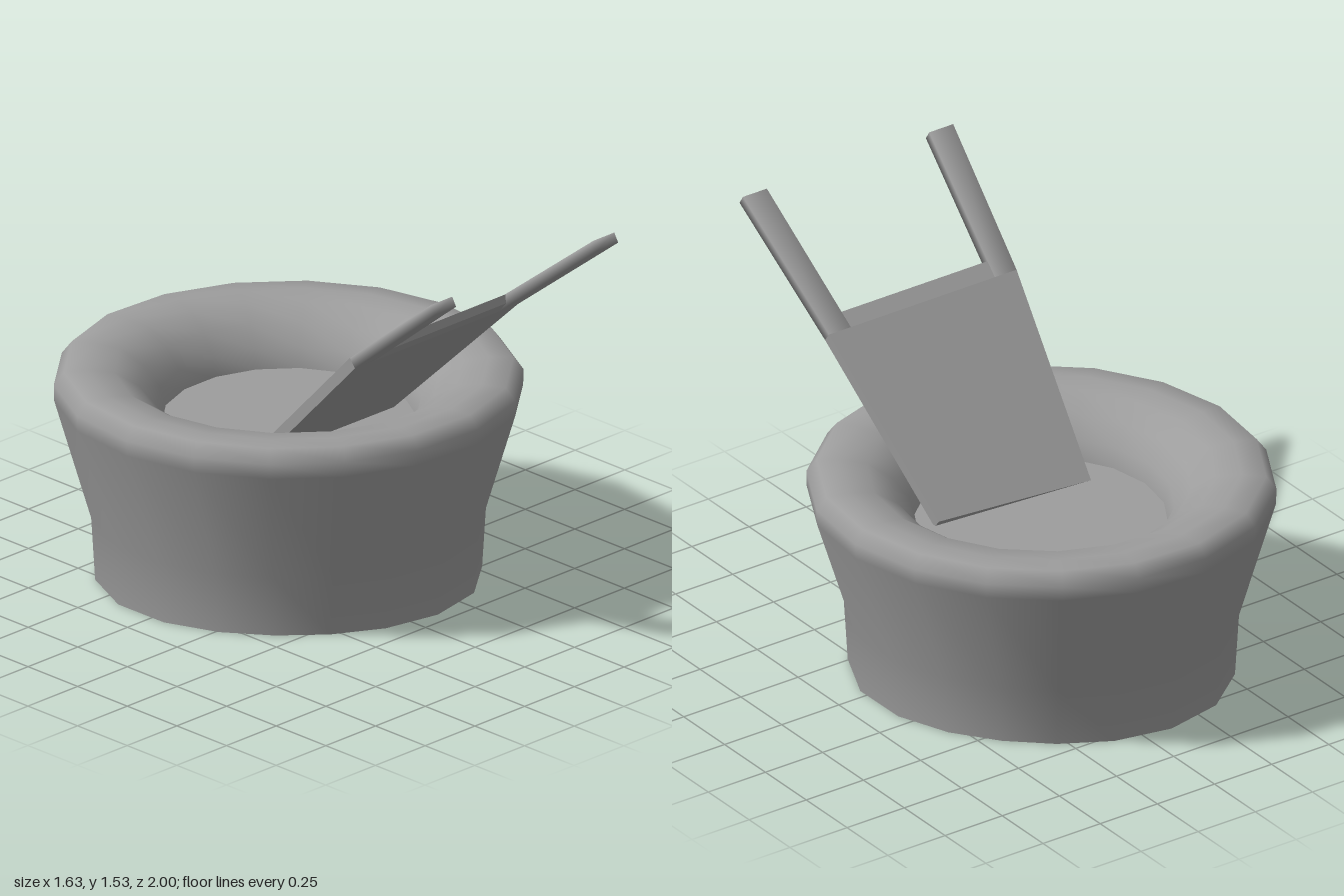
import * as THREE from 'three';
import { mergeVertices } from 'three/addons/utils/BufferGeometryUtils.js';

const CENTRE_Z = -0.19;
const SIDES = 18;
const COLOR = 0x9d9d9d;

const material = new THREE.MeshStandardMaterial({ color: COLOR, side: THREE.DoubleSide });
const flatMaterial = new THREE.MeshStandardMaterial({ color: COLOR, side: THREE.DoubleSide, flatShading: true });

function addMesh(parent, name, geometry, mat) {
  const mesh = new THREE.Mesh(geometry, mat);
  mesh.name = name;
  parent.add(mesh);
  return mesh;
}

// Turned wall from [radius, y, oval] points; oval stretches that ring along the x = z diagonal
function ovalLathe(profile) {
  const points = profile.map(([r, y]) => new THREE.Vector2(r, y));
  const geometry = new THREE.LatheGeometry(points, SIDES, THREE.MathUtils.degToRad(10));
  const p = geometry.attributes.position;
  for (let i = 0; i < p.count; i++) {
    const x = p.getX(i), z = p.getZ(i);
    const f = 1 + profile[i % profile.length][2] * 2 * x * z / (x * x + z * z);
    p.setX(i, x * f);
    p.setZ(i, z * f);
  }
  return geometry;
}

// Board between two cross-sections; z may be one value or [left edge, right edge],
// shift is how far the lower face sits forward of the upper one
function board(near, far) {
  const geometry = new THREE.BoxGeometry(1, 1, 1);
  const p = geometry.attributes.position;
  for (let i = 0; i < p.count; i++) {
    const end = p.getZ(i) > 0 ? far : near;
    const under = p.getY(i) < 0 ? 1 : 0;
    const side = p.getX(i) < 0 ? 0 : 1;
    p.setXYZ(i, end.x[side], end.y[side] - under * 0.033, end.z[side] + under * end.shift);
  }
  geometry.computeVertexNormals();
  return geometry;
}

// Softly shaded version of a board
function softBoard(near, far) {
  const geometry = board(near, far);
  geometry.deleteAttribute('normal');
  geometry.deleteAttribute('uv');
  const merged = mergeVertices(geometry);
  merged.computeVertexNormals();
  return merged;
}

const section = (z, y, x0, x1, shift) => ({ z: [z, z], y: [y, y], x: [x0, x1], shift });

export function createModel() {
  const group = new THREE.Group();

  // Tub: open-bottomed outer wall, rolled rim and inner sleeve in one profile
  const tub = addMesh(group, 'tub', ovalLathe([
    [0.627, 0, 0.104], [0.657, 0.24, 0.075], [0.81, 0.7, 0.035], [0.815, 0.76, 0.03],
    [0.78, 0.808, 0.03], [0.7, 0.812, 0.025], [0.61, 0.8, 0.02], [0.53, 0.745, 0.01],
    [0.475, 0.67, 0], [0.453, 0.6, 0], [0.43, 0.42, 0], [0.39, 0.21, 0],
  ]), material);
  tub.position.z = CENTRE_Z;

  // Flat surface inside the bowl
  const disc = new THREE.CircleGeometry(0.453, SIDES);
  disc.rotateX(-Math.PI / 2);
  const surface = addMesh(group, 'bowlSurface', disc, material);
  surface.position.set(0, 0.6, CENTRE_Z);

  // Leaning paddle: a tapered plate with a short lip past the bend, and two prongs
  const paddle = new THREE.Group();
  paddle.name = 'paddle';
  group.add(paddle);
  addMesh(paddle, 'paddlePlate', board(
    { z: [-0.06, -0.03], y: [0.6, 0.625], x: [-0.31, 0.335], shift: 0.025 },
    section(0.515, 1.17, -0.395, 0.425, 0.025)), flatMaterial);
  addMesh(paddle, 'paddleLip', board(
    section(0.515, 1.17, -0.31, 0.34, 0.025),
    section(0.567, 1.21, -0.305, 0.335, 0.005)), flatMaterial);
  const prongs = [
    ['rightProng', -0.395, -0.3, -0.45, -0.345],
    ['leftProng', 0.33, 0.425, 0.365, 0.47],
  ];
  for (const [name, a0, a1, b0, b1] of prongs) {
    addMesh(paddle, name, softBoard(
      section(0.515, 1.17, a0, a1, 0.025),
      section(0.98, 1.535, b0, b1, 0.02)), material);
  }
  return group;
}
